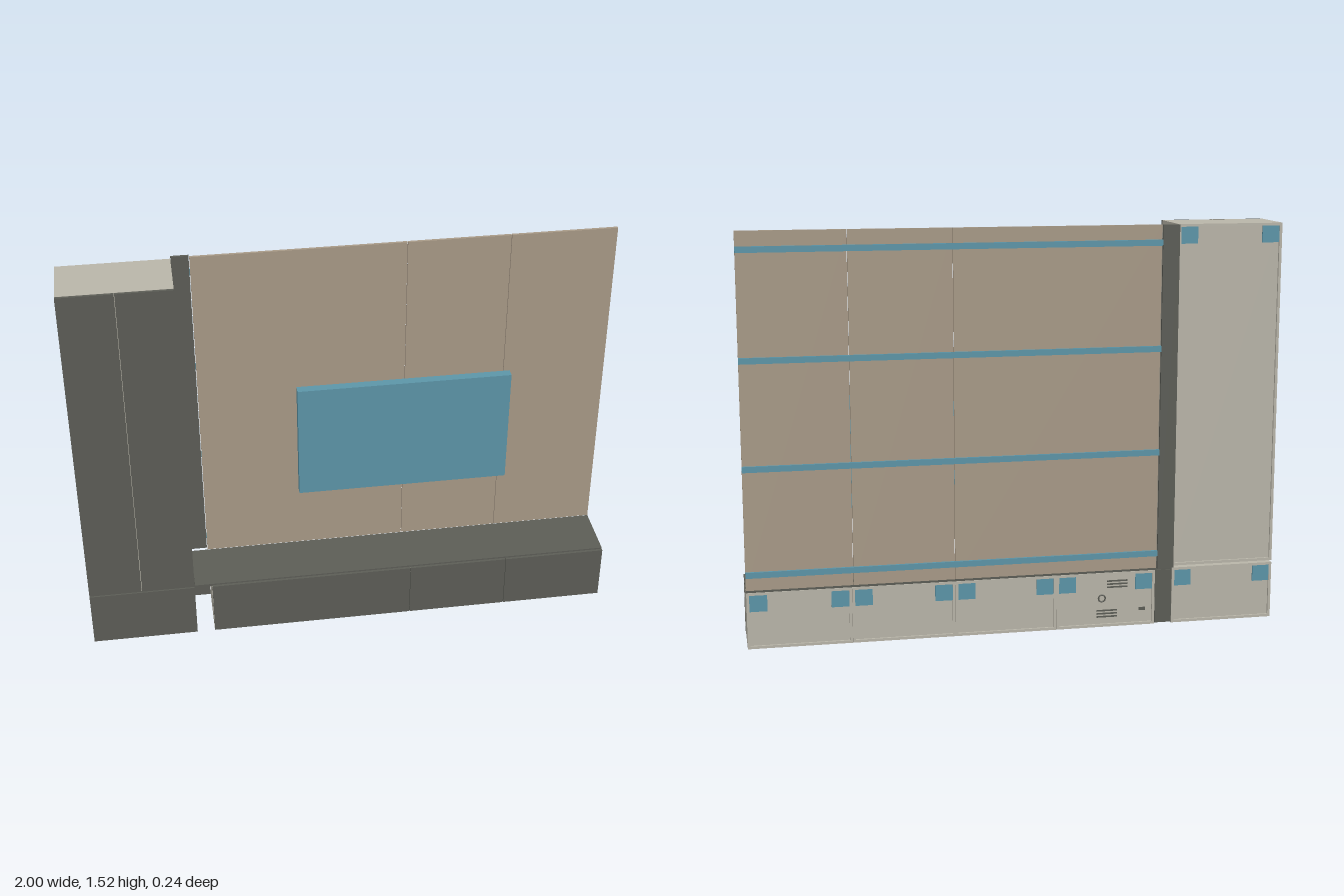
import * as THREE from 'three';

const mat = (name, color) => {
  const m = new THREE.MeshStandardMaterial({ color });
  m.name = name;
  return m;
};

export function createModel() {
  const dark = mat('dark front', 0x5c5d56);
  const light = mat('light carcass', 0xb9b5a9);
  const tan = mat('tan wall panel', 0xa89a87);
  const blue = mat('blue fittings', 0x5c95a8);
  const root = new THREE.Group();
  root.name = 'mediaWall';

  // Box given by its limits on each axis
  const box = (parent, name, material, [x0, x1], [y0, y1], [z0, z1]) => {
    const mesh = new THREE.Mesh(new THREE.BoxGeometry(x1 - x0, y1 - y0, z1 - z0), material);
    mesh.position.set((x0 + x1) / 2, (y0 + y1) / 2, (z0 + z1) / 2);
    mesh.name = name;
    parent.add(mesh);
    return mesh;
  };

  // Carcass with a recessed back and two hanging brackets
  const T = 0.01, BACK = -0.102, FRONT = 0.111;
  const cabinet = (name, x0, x1, y0, y1) => {
    const g = new THREE.Group();
    g.name = name;
    root.add(g);
    const z = [BACK, FRONT];
    box(g, 'leftSide', light, [x1 - T, x1], [y0, y1], z);
    box(g, 'rightSide', light, [x0, x0 + T], [y0, y1], z);
    box(g, 'bottom', light, [x0 + T, x1 - T], [y0, y0 + T], z);
    box(g, 'top', light, [x0 + T, x1 - T], [y1 - T, y1], z);
    box(g, 'backPanel', light, [x0 + T, x1 - T], [y0 + T, y1 - T], [-0.094, -0.084]);
    for (const bx of [x0 + T, x1 - T - 0.065]) {
      box(g, 'hangingBracket', blue, [bx, bx + 0.065], [y1 - T - 0.062, y1 - T], [-0.1, -0.094]);
    }
    return g;
  };

  // Door or drawer front with a narrow gap all round
  const front = (name, x0, x1, y0, y1) =>
    box(root, name, dark, [x0 + 0.001, x1 - 0.001], [y0, y1], [0.112, 0.122]);

  // Tall cabinet and its base
  cabinet('tallCabinet', -1, -0.602, 0.226, 1.518);
  front('tallDoorRight', -1.001, -0.802, 0.226, 1.518);
  front('tallDoorLeft', -0.802, -0.601, 0.226, 1.518);
  cabinet('baseCabinet', -1, -0.602, 0, 0.218);
  front('baseDrawerFront', -1.001, -0.601, 0, 0.221);

  // Low bench of four carcasses
  const w = 1.535 / 4;
  for (let i = 0; i < 4; i++) {
    cabinet('benchCabinet', -0.535 + i * w, -0.535 + (i + 1) * w - 0.001, 0, 0.212);
  }
  const seams = [-0.535, 0.234, 0.612, 1.001];
  for (let i = 0; i < 3; i++) front('benchFront', seams[i], seams[i + 1], 0, 0.218);
  box(root, 'benchTop', dark, [-0.6, 1], [0.213, 0.223], [BACK, 0.111]);
  box(root, 'benchFiller', dark, [-0.601, -0.536], [0.004, 0.212], [BACK, -0.092]);

  // Vents and cable outlet on the back of the end bench cabinet
  const vent = (x, y) => {
    for (let i = 0; i < 3; i++) {
      const sy = y + (i - 1) * 0.012;
      box(root, 'ventSlot', dark, [x - 0.04, x + 0.04], [sy - 0.003, sy + 0.003], [-0.096, -0.094]);
    }
  };
  vent(-0.39, 0.165);
  vent(-0.35, 0.05);
  box(root, 'socket', dark, [-0.5, -0.475], [0.055, 0.067], [-0.096, -0.094]);
  const outlet = new THREE.Mesh(new THREE.TorusGeometry(0.013, 0.003, 6, 20), dark);
  outlet.name = 'cableOutlet';
  outlet.position.set(-0.33, 0.11, -0.094);
  root.add(outlet);

  // Wall panels, edge filler and mounting rails
  const edges = [-0.537, 0.235, 0.611, 1];
  for (let i = 0; i < 3; i++) {
    box(root, 'wallPanel', tan, [edges[i] + 0.001, edges[i + 1] - (i < 2 ? 0.001 : 0)], [0.224, 1.518], [-0.112, BACK]);
  }
  box(root, 'edgeFiller', dark, [-0.601, -0.538], [0.224, 1.518], [-0.122, -0.113]);
  for (let i = 0; i < 4; i++) {
    const y = 0.283 + i * 0.39;
    box(root, 'mountingRail', blue, [-0.538, 1], [y - 0.011, y + 0.011], [-0.121, -0.112]);
  }

  // Screen on its wall mount
  box(root, 'screen', blue, [-0.173, 0.632], [0.494, 0.956], [-0.09, -0.056]);
  box(root, 'screenMount', blue, [0.043, 0.415], [0.604, 0.842], [BACK, -0.09]);

  return root;
}
